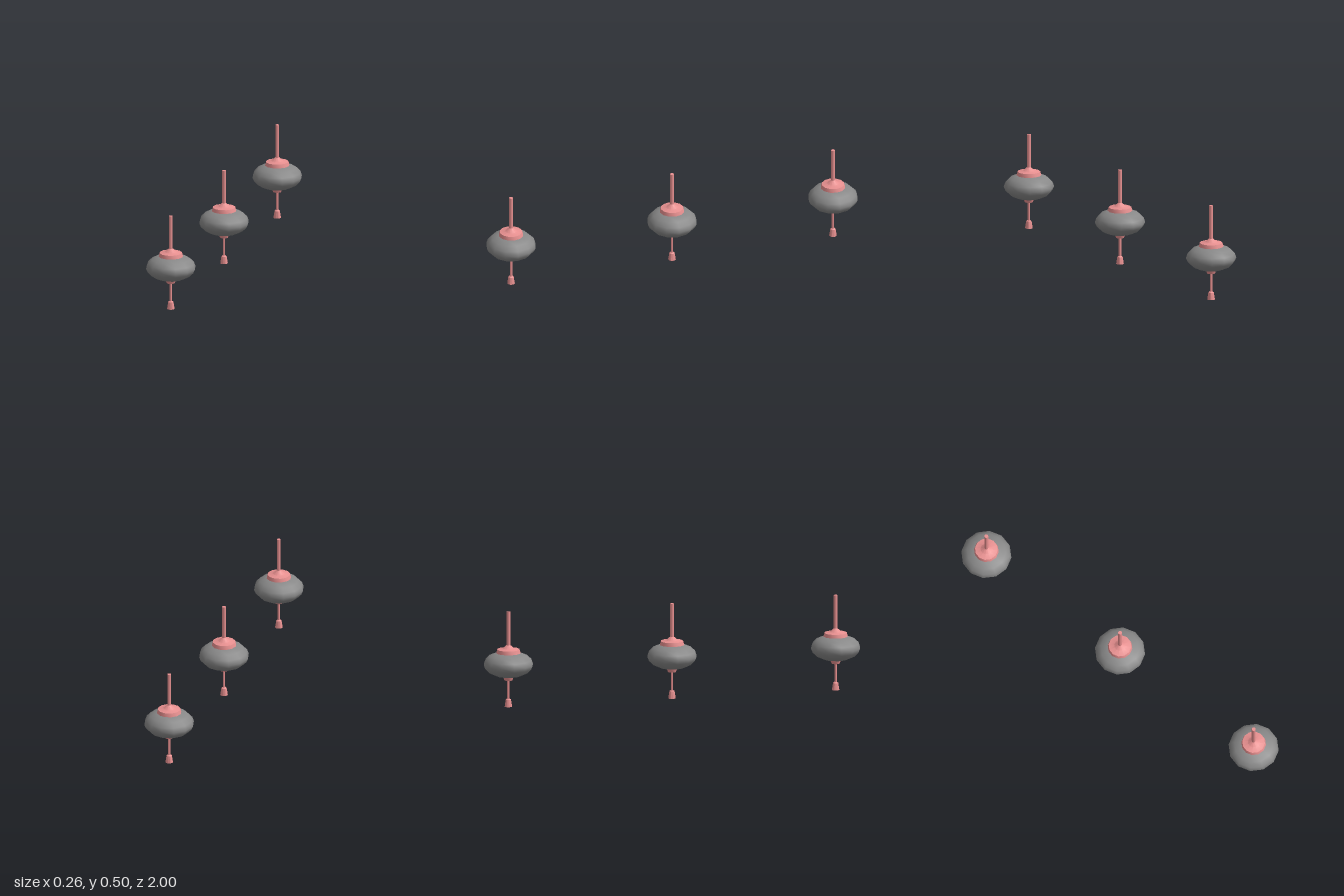
import * as THREE from 'three';
import { toCreasedNormals } from 'three/addons/utils/BufferGeometryUtils.js';

const SIDES = 12;
const pink = new THREE.MeshStandardMaterial({ color: 0xe89090, side: THREE.DoubleSide });
const grey = new THREE.MeshStandardMaterial({ color: 0x888888, side: THREE.DoubleSide });

// Turned part from [radius, height] pairs, listed from bottom to top
function turned(name, profile, material, crease) {
  const points = profile.map(([r, y]) => new THREE.Vector2(r, y));
  const geometry = toCreasedNormals(new THREE.LatheGeometry(points, SIDES), crease);
  const mesh = new THREE.Mesh(geometry, material);
  mesh.name = name;
  return mesh;
}

function createLantern() {
  const lantern = new THREE.Group();
  lantern.name = 'lantern';
  lantern.add(
    // Flattened round shade
    turned('shade', [
      [0, 0.157], [0.028, 0.157], [0.065, 0.164], [0.1, 0.18], [0.122, 0.202],
      [0.1305, 0.222], [0.122, 0.246], [0.1, 0.268], [0.064, 0.283], [0, 0.283],
    ], grey, 1.0),
    // Stepped cap that tapers into the hanging rod
    turned('cap', [
      [0, 0.283], [0.064, 0.283], [0.059, 0.302], [0.03, 0.307], [0.01, 0.325], [0, 0.325],
    ], pink, 0.6),
    turned('hangingRod', [[0, 0.32], [0.01, 0.32], [0.01, 0.5], [0, 0.5]], pink, 0.6),
    // Collar, cord and tassel below the shade
    turned('collar', [[0, 0.139], [0.021, 0.139], [0.028, 0.157], [0, 0.157]], pink, 0.6),
    turned('cord', [[0.0065, 0.035], [0.0065, 0.142]], pink, 0.6),
    turned('tassel', [[0, 0], [0.02, 0], [0.014, 0.037], [0.008, 0.042], [0, 0.042]], pink, 0.6),
  );
  return lantern;
}

export function createModel() {
  const model = new THREE.Group();
  model.name = 'lanternRow';
  // Three equal lanterns in a row from back to front
  for (const z of [-0.87, 0, 0.87]) {
    const lantern = createLantern();
    lantern.position.z = z;
    model.add(lantern);
  }
  return model;
}
